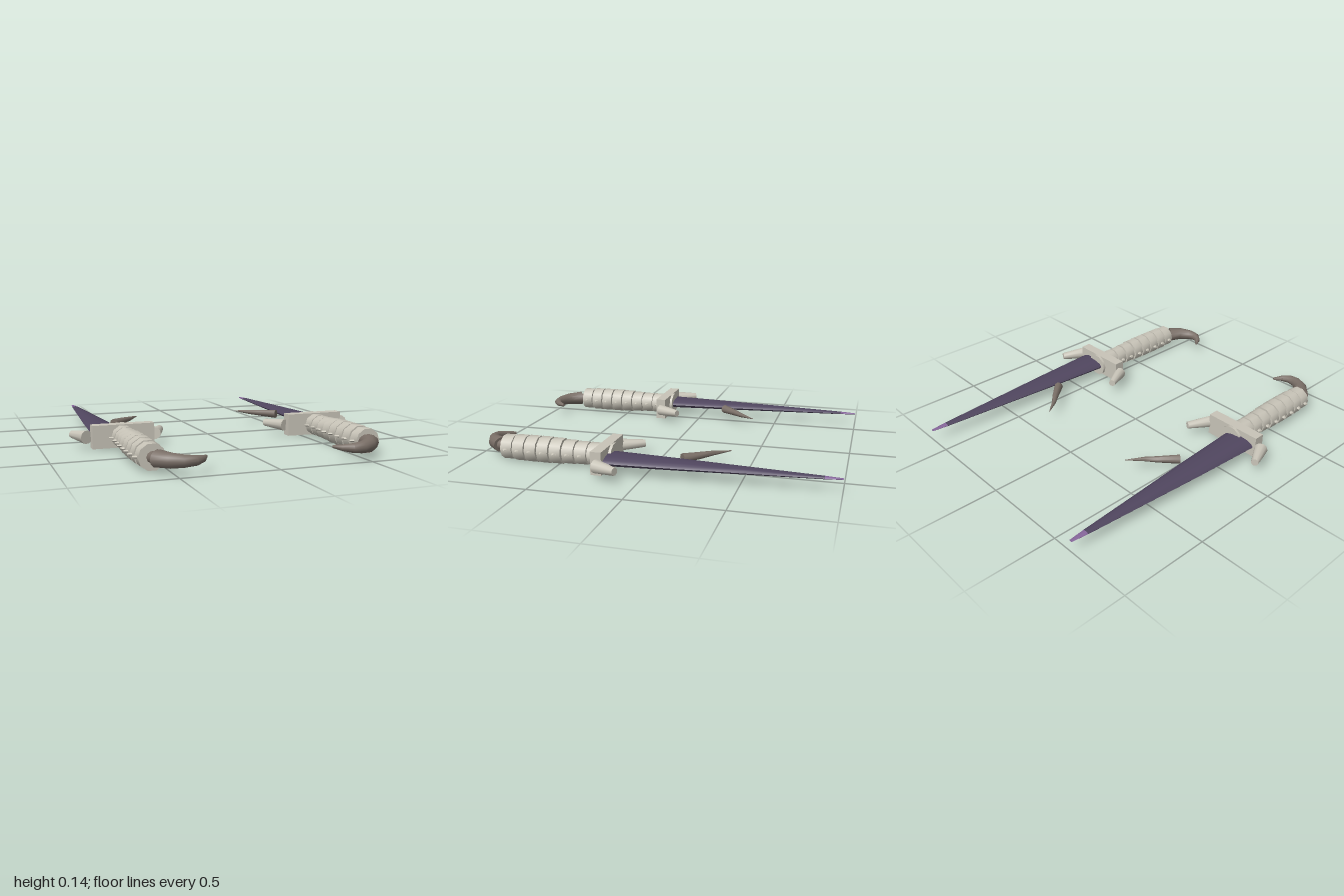
import * as THREE from 'three';
import { toCreasedNormals } from 'three/addons/utils/BufferGeometryUtils.js';

const Y = 0.07; // height of the centre plane in which both daggers lie

const material = (name, color) => {
  const m = new THREE.MeshStandardMaterial({ color });
  m.name = name;
  return m;
};

// Sweep an elliptical section along points [x, z, half width, half height], capped at both ends
function sweep(points, sides, s) {
  const pos = [], index = [], up = new THREE.Vector3(0, 1, 0);
  const c = points.map(p => new THREE.Vector3(s * p[0], Y, p[1]));
  const n = points.length;
  points.forEach(([, , w, h = w], i) => {
    const t = c[Math.min(i + 1, n - 1)].clone().sub(c[Math.max(i - 1, 0)]).normalize();
    const u = new THREE.Vector3().crossVectors(up, t);
    for (let j = 0; j < sides; j++) {
      const a = (j / sides) * Math.PI * 2;
      const v = c[i].clone().addScaledVector(u, Math.cos(a) * w).addScaledVector(up, Math.sin(a) * h);
      pos.push(v.x, v.y, v.z);
    }
  });
  for (let i = 0; i < n - 1; i++) {
    for (let j = 0; j < sides; j++) {
      const a = i * sides + j, b = i * sides + ((j + 1) % sides);
      index.push(a, a + sides, b, b, a + sides, b + sides);
    }
  }
  const last = (n - 1) * sides;
  for (let j = 1; j < sides - 1; j++) {
    index.push(0, j, j + 1, last, last + j + 1, last + j);
  }
  // u, up and t are right-handed only as (up, t, u), so turn the faces outward
  for (let k = 0; k < index.length; k += 3) {
    const a = new THREE.Vector3().fromArray(pos, index[k] * 3);
    const b = new THREE.Vector3().fromArray(pos, index[k + 1] * 3);
    const d = new THREE.Vector3().fromArray(pos, index[k + 2] * 3);
    const normal = b.clone().sub(a).cross(d.clone().sub(a));
    const mid = a.clone().add(b).add(d).divideScalar(3);
    const f = Math.floor(index[k] / sides), g = Math.floor(index[k + 2] / sides);
    const isCap = k >= (n - 1) * sides * 6;
    const out = isCap
      ? c[f].clone().sub(c[f === 0 ? 1 : n - 2])
      : mid.clone().sub(c[f].clone().add(c[g]).multiplyScalar(0.5));
    if (normal.dot(out) < 0) [index[k + 1], index[k + 2]] = [index[k + 2], index[k + 1]];
  }
  const geo = new THREE.BufferGeometry();
  geo.setAttribute('position', new THREE.Float32BufferAttribute(pos, 3));
  geo.setIndex(index);
  return toCreasedNormals(geo, 0.75);
}

export function createModel() {
  const model = new THREE.Group();
  model.name = 'daggerPair';
  const bone = material('bone', 0xc8c4b8);
  const horn = material('horn', 0x7a6f67);
  const blade = material('bladePurple', 0x50465f);
  const tip = material('tipViolet', 0x85659a);

  // Half widths of the grip rings, from the guard to the pommel
  const ringRadii = [0.07, 0.064, 0.064, 0.067, 0.072, 0.074, 0.074, 0.073, 0.069];

  for (const s of [1, -1]) {
    const dagger = new THREE.Group();
    dagger.name = s > 0 ? 'leftDagger' : 'rightDagger';
    model.add(dagger);
    const add = (name, geo, mat) => {
      const mesh = new THREE.Mesh(geo, mat);
      mesh.name = name;
      dagger.add(mesh);
      return mesh;
    };

    // Blade and its lighter tip
    add('blade', sweep([
      [0.63, 0.22, 0.098, 0.03], [0.63, -0.19, 0.073, 0.022],
      [0.629, -0.52, 0.048, 0.015], [0.628, -0.91, 0.019, 0.007],
    ], 12, s), blade);
    add('bladeTip', sweep([[0.628, -0.91, 0.019, 0.007], [0.627, -1, 0.009, 0.003]], 12, s), tip);

    // Crossguard with two forward horns
    add('guard', new THREE.BoxGeometry(0.338, 0.125, 0.06), bone).position.set(s * 0.574, 0.0725, 0.235);
    add('innerGuardHorn', sweep([[0.394, 0.233, 0.034], [0.328, 0.103, 0.021]], 10, s), bone);
    add('outerGuardHorn', sweep([[0.767, 0.226, 0.037], [0.823, 0.103, 0.021]], 10, s), bone);

    // Grip: core, rings and small side studs
    add('gripCore', sweep([[0.578, 0.2, 0.052], [0.578, 0.825, 0.052]], 10, s), bone);
    ringRadii.forEach((r, i) => {
      const z = 0.222 + i * 0.0719;
      add('gripRing', sweep([[0.578, z - 0.032, r, r * 0.97], [0.578, z + 0.032, r, r * 0.97]], 10, s), bone);
      for (const side of [-1, 1]) {
        add('gripStud', sweep([
          [0.578 + side * (r - 0.015), z + 0.006, 0.017, 0.008],
          [0.578 + side * (r + 0.016), z - 0.008, 0.01, 0.005],
        ], 6, s), bone);
      }
    });

    // Hooked pommel horn on a short stub
    add('pommelStub', sweep([[0.578, 0.82, 0.03], [0.563, 0.87, 0.03]], 10, s), horn);
    add('pommelHorn', sweep([
      [0.563, 0.86, 0.052, 0.043], [0.519, 0.927, 0.038], [0.463, 0.96, 0.031],
      [0.41, 0.965, 0.025], [0.368, 0.939, 0.017], [0.336, 0.894, 0.008],
    ], 12, s), horn);

    // Curved spike beside the blade
    add('sideSpike', sweep([
      [0.529, -0.167, 0.026], [0.447, -0.257, 0.018], [0.399, -0.304, 0.013], [0.333, -0.389, 0.002],
    ], 10, s), horn);
  }
  return model;
}
